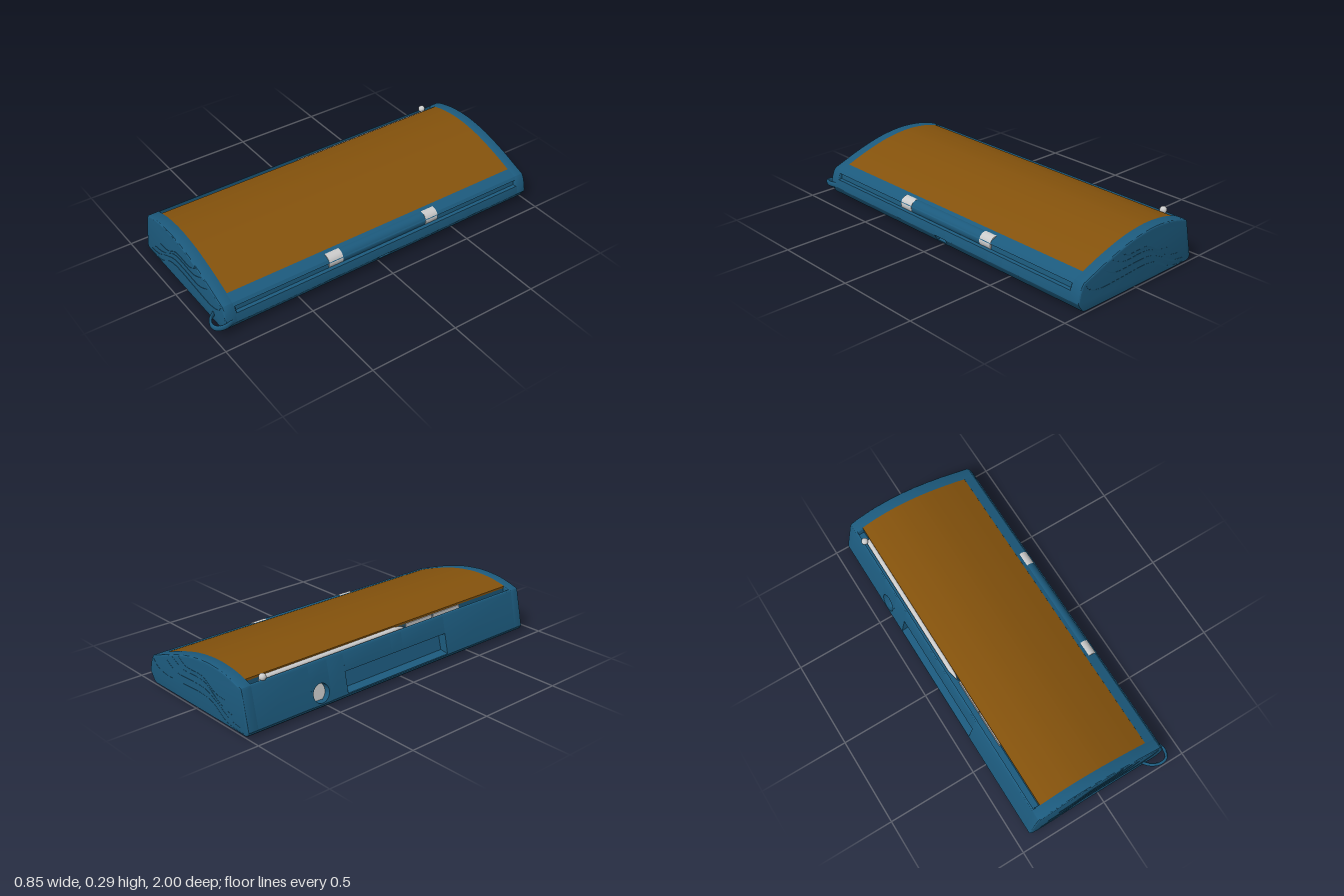
import * as THREE from 'three';
import { toCreasedNormals } from 'three/addons/utils/BufferGeometryUtils.js';

const mat = (color) => new THREE.MeshStandardMaterial({ color });
const v2 = ([x, y]) => new THREE.Vector2(x, y);
const FRONT = 0.94, BACK = -1;
const INNER_FRONT = 0.88, INNER_BACK = -0.94;

// Arched top between the two long edges, left to right
const ARCH = new THREE.SplineCurve([
  [-0.33, 0.258], [-0.25, 0.276], [-0.145, 0.285], [-0.05, 0.28],
  [0.06, 0.262], [0.2, 0.222], [0.32, 0.178],
].map(v2)).getPoints(36);

// x of the sloping left wall at height y
const leftX = (y) => -0.423 + (y - 0.035) * 0.22;

// Cross-section of the case, with optional cut-outs
function section({ cap = false, thumb = 0, from = 0.035, to = 0.145, notch = false }) {
  const p = [[-0.418, 0.016], [-0.408, 0.007], [-0.395, 0.004], [0.355, 0.004], [0.37, 0.007], [0.382, 0.016]];
  if (notch) p.push([0.388, 0.028], [0.365, 0.028], [0.37, 0.058]);
  p.push([0.409, 0.058], [0.409, 0.066], [0.4, 0.108]);
  if (!cap) p.push([0.38, 0.11], [0.375, 0.148]);
  p.push([0.387, 0.142], [0.375, 0.158]);
  const drop = cap ? 0 : 0.012;
  if (!cap) p.push([0.32, 0.178]);
  for (const a of [...ARCH].reverse()) p.push([a.x, a.y - drop]);
  // stylus channel along the left edge
  if (!cap) p.push([-0.33, 0.213], [-0.366, 0.213]);
  p.push([-0.366, 0.246], [-0.374, 0.242], [leftX(0.233), 0.233]);
  if (thumb) {
    p.push([leftX(to), to], [leftX(to) + thumb, to - 0.012]);
    p.push([leftX(from) + thumb, from + 0.008], [leftX(from), from]);
  }
  p.push([-0.424, 0.03]);
  return new THREE.Shape(p.map(v2));
}

function extrude(shape, z0, z1, bevel = 0) {
  const g = new THREE.ExtrudeGeometry(shape, {
    depth: z1 - z0 - 2 * bevel, bevelEnabled: bevel > 0, bevelThickness: bevel,
    bevelSize: bevel, bevelOffset: -bevel, bevelSegments: 3, curveSegments: 24,
  });
  g.translate(0, 0, z0 + bevel);
  return toCreasedNormals(g, 0.5);
}

export function createModel() {
  const model = new THREE.Group();
  const blue = mat(0x1c5a7d), orange = mat(0x84520c), grey = mat(0xcccccc);
  const add = (name, geo, material, x = 0, y = 0, z = 0) => {
    const m = new THREE.Mesh(geo, material);
    m.name = name;
    m.position.set(x, y, z);
    model.add(m);
    return m;
  };

  // Case body, cut into lengths with their own cross-sections
  const hole = { thumb: 0.045, from: 0.03, to: 0.14 };
  const thumb = { thumb: 0.05 };
  [
    [INNER_BACK, -0.605, {}], [-0.605, -0.485, hole], [-0.485, -0.38, {}],
    [-0.38, -0.06, thumb], [-0.06, 0.02, { ...thumb, notch: true }],
    [0.02, 0.33, thumb], [0.33, INNER_FRONT, {}],
  ].forEach(([a, b, o]) => add('caseBody', extrude(section(o), a, b), blue));

  // End caps with softened rims
  add('frontCap', extrude(section({ cap: true }), INNER_FRONT - 0.01, FRONT, 0.01), blue);
  add('backCap', extrude(section({ cap: true }), BACK, INNER_BACK + 0.01, 0.01), blue);

  // Arched top panel
  const under = [...ARCH].reverse().map((a) => new THREE.Vector2(a.x, a.y - 0.018));
  add('topPanel', extrude(new THREE.Shape([...ARCH.map((a) => new THREE.Vector2(a.x, a.y - 0.001)), ...under]),
    INNER_BACK, INNER_FRONT), orange);

  // Round opening in the left wall: plate with a hole, and a grey disc behind it
  const plateShape = new THREE.Shape([[-0.06, -0.057], [0.06, -0.057], [0.06, 0.057], [-0.06, 0.057]].map(v2));
  plateShape.holes.push(new THREE.Path().absarc(0, 0, 0.05, 0, Math.PI * 2, true));
  const socket = new THREE.Group();
  socket.name = 'sideSocket';
  const plate = new THREE.Mesh(extrude(plateShape, -0.044, 0), blue);
  plate.name = 'socketPlate';
  const disc = new THREE.Mesh(new THREE.CircleGeometry(0.05, 32), grey);
  disc.name = 'socketFloor';
  disc.position.z = -0.035;
  socket.add(plate, disc);
  socket.position.set(leftX(0.085), 0.085, -0.545);
  socket.rotation.set(0, -Math.PI / 2, 0);
  socket.rotateX(-Math.atan(0.22));
  model.add(socket);

  // Hinge: grey knuckles either side of a blue barrel
  const barrel = (name, z0, z1, r, m) => {
    const g = new THREE.CylinderGeometry(r, r, z1 - z0, 32).rotateX(Math.PI / 2);
    add(name, g, m, 0.347, 0.132, (z0 + z1) / 2);
  };
  barrel('hingeKnuckle', -0.38, -0.3, 0.04, grey);
  barrel('hingeBarrel', -0.3, 0.235, 0.039, blue);
  barrel('hingeKnuckle', 0.235, 0.32, 0.04, grey);

  // Stylus lying in the channel
  add('stylusBody', new THREE.CylinderGeometry(0.016, 0.016, 0.88, 20).rotateX(Math.PI / 2), grey, -0.337, 0.235, -0.42);
  add('stylusTip', new THREE.ConeGeometry(0.016, 0.07, 20).rotateX(Math.PI / 2), grey, -0.337, 0.235, 0.055);
  add('stylusBall', new THREE.SphereGeometry(0.019, 24, 16), grey, -0.36, 0.255, -0.86);
  [[0.1, 0.29], [0.3, 0.5]].forEach(([a, b]) =>
    add('channelLiner', new THREE.BoxGeometry(0.008, 0.034, b - a), grey, -0.332, 0.229, (a + b) / 2));

  // Feet under the case
  for (const z of [-0.67, 0.59]) add('foot', new THREE.BoxGeometry(0.23, 0.01, 0.15), grey, 0.235, 0.005, z);

  // Flowing ribs on both ends, thickest in the middle
  const waves = [
    [[-0.25, 0.14], [-0.2, 0.143], [-0.15, 0.157], [-0.07, 0.2], [0.03, 0.201], [0.08, 0.206], [0.13, 0.235]],
    [[-0.315, 0.08], [-0.25, 0.092], [-0.19, 0.117], [-0.1, 0.17], [-0.02, 0.18], [0.1, 0.178], [0.19, 0.215]],
    [[-0.36, 0.04], [-0.28, 0.053], [-0.2, 0.095], [-0.1, 0.137], [0, 0.143], [0.15, 0.14], [0.24, 0.178]],
    [[-0.39, 0.016], [-0.3, 0.02], [-0.24, 0.035], [-0.15, 0.088], [-0.05, 0.104], [0.1, 0.098], [0.25, 0.093], [0.33, 0.112], [0.365, 0.145]],
  ];
  for (const w of waves) {
    const top = new THREE.SplineCurve(w.map(v2)).getPoints(48);
    const low = top.map((p, i) => new THREE.Vector2(p.x, p.y - 0.001 - 0.013 * Math.sin((Math.PI * i) / 48)));
    const shape = new THREE.Shape([...top, ...low.reverse()]);
    add('frontWave', extrude(shape, FRONT - 0.005, FRONT + 0.002), blue);
    add('backWave', extrude(shape, BACK - 0.001, BACK + 0.005), blue);
  }

  // Wrist loop at the front right-hand corner, flattened into a band
  const loop = new THREE.CatmullRomCurve3([
    [0.275, 0.05, 0.93], [0.31, 0.053, 0.97], [0.36, 0.058, 0.992],
    [0.398, 0.064, 0.983], [0.413, 0.067, 0.945], [0.398, 0.066, 0.885],
  ].map(([x, y, z]) => new THREE.Vector3(x, y / 2, z)));
  add('wristLoop', new THREE.TubeGeometry(loop, 48, 0.008, 12).scale(1, 2, 1), blue);

  return model;
}
